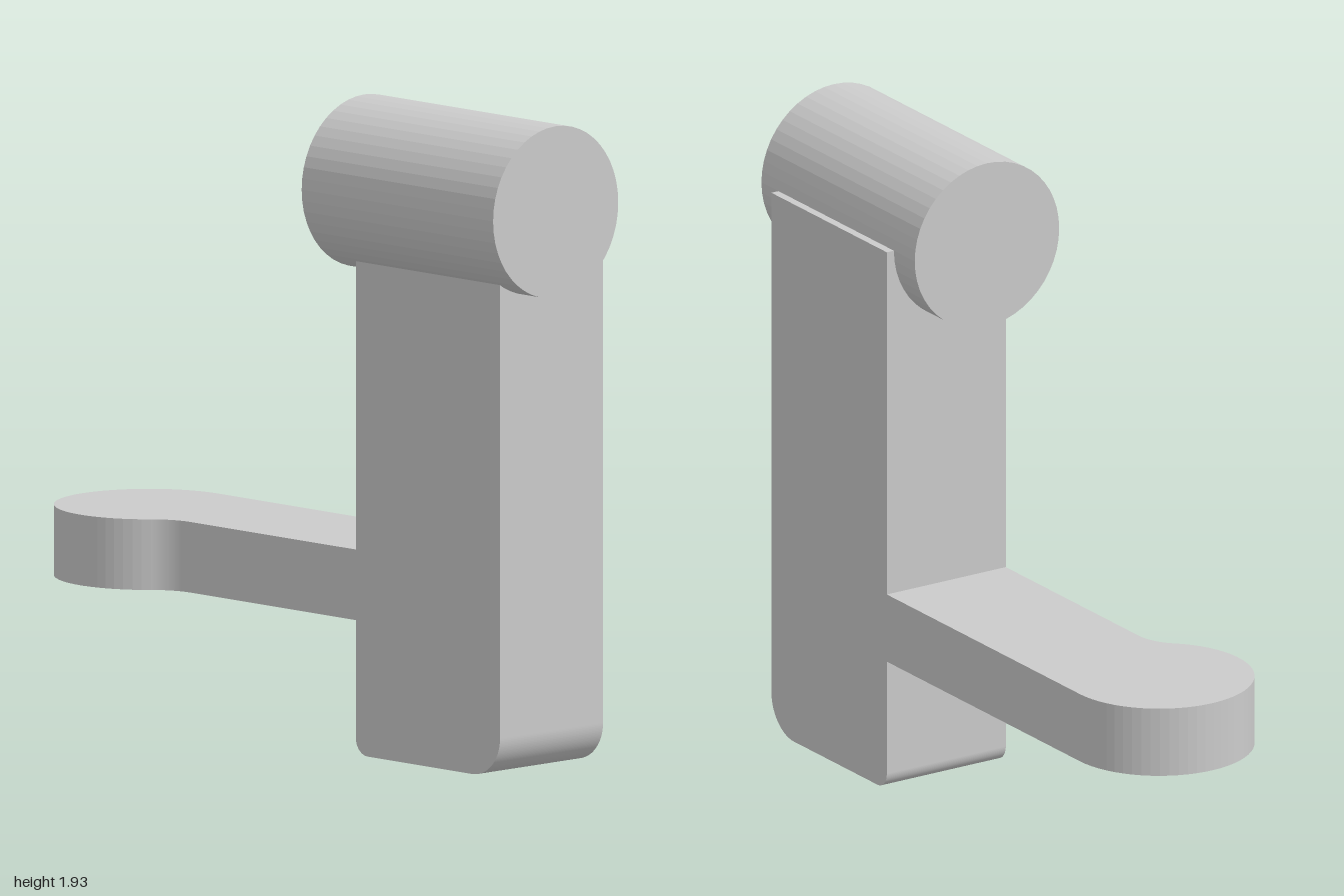
import * as THREE from 'three';

const material = new THREE.MeshStandardMaterial({ color: 0xcccccc, flatShading: true });

function addPart(group, name, geometry) {
  const mesh = new THREE.Mesh(geometry, material);
  mesh.name = name;
  group.add(mesh);
  return mesh;
}

function extrude(shape, depth) {
  return new THREE.ExtrudeGeometry(shape, { depth, bevelEnabled: false, curveSegments: 20 });
}

// Upright block: side profile (x = -z) with rounded bottom edges
function postGeometry() {
  const front = -0.91, back = -0.3, top = 1.68, rFront = 0.12, rBack = 0.05;
  const s = new THREE.Shape();
  s.moveTo(front, top);
  s.lineTo(front, rFront);
  s.absarc(front + rFront, rFront, rFront, Math.PI, Math.PI * 1.5, false);
  s.lineTo(back - rBack, 0);
  s.absarc(back - rBack, rBack, rBack, -Math.PI / 2, 0, false);
  s.lineTo(back, top);
  s.closePath();
  return extrude(s, 0.42).rotateY(Math.PI / 2).translate(-0.14, 0, 0);
}

// Rear arm: plan profile (y = -z) with a round end and a concave fillet
function armGeometry() {
  const r = 0.28, cy = 0.72, fillet = 0.156, fx = -0.14 - fillet, fy = 0.4;
  const a = Math.atan2(cy - fy, -fx);
  const s = new THREE.Shape();
  s.moveTo(-0.14, -0.3);
  s.lineTo(0.28, -0.3);
  s.lineTo(0.28, cy);
  s.absarc(0, cy, r, 0, Math.PI + a, false);
  s.absarc(fx, fy, fillet, a, 0, true);
  s.closePath();
  return extrude(s, 0.21).rotateX(-Math.PI / 2).translate(0, 0.4, 0);
}

export function createModel() {
  const model = new THREE.Group();
  model.name = 'bracket';
  addPart(model, 'post', postGeometry());
  addPart(model, 'arm', armGeometry());

  // Horizontal cylinder across the top of the post
  const barrel = new THREE.CylinderGeometry(0.255, 0.255, 0.81, 48).rotateX(Math.PI / 2);
  addPart(model, 'barrel', barrel).position.set(0, 1.68, 0.595);
  return model;
}
